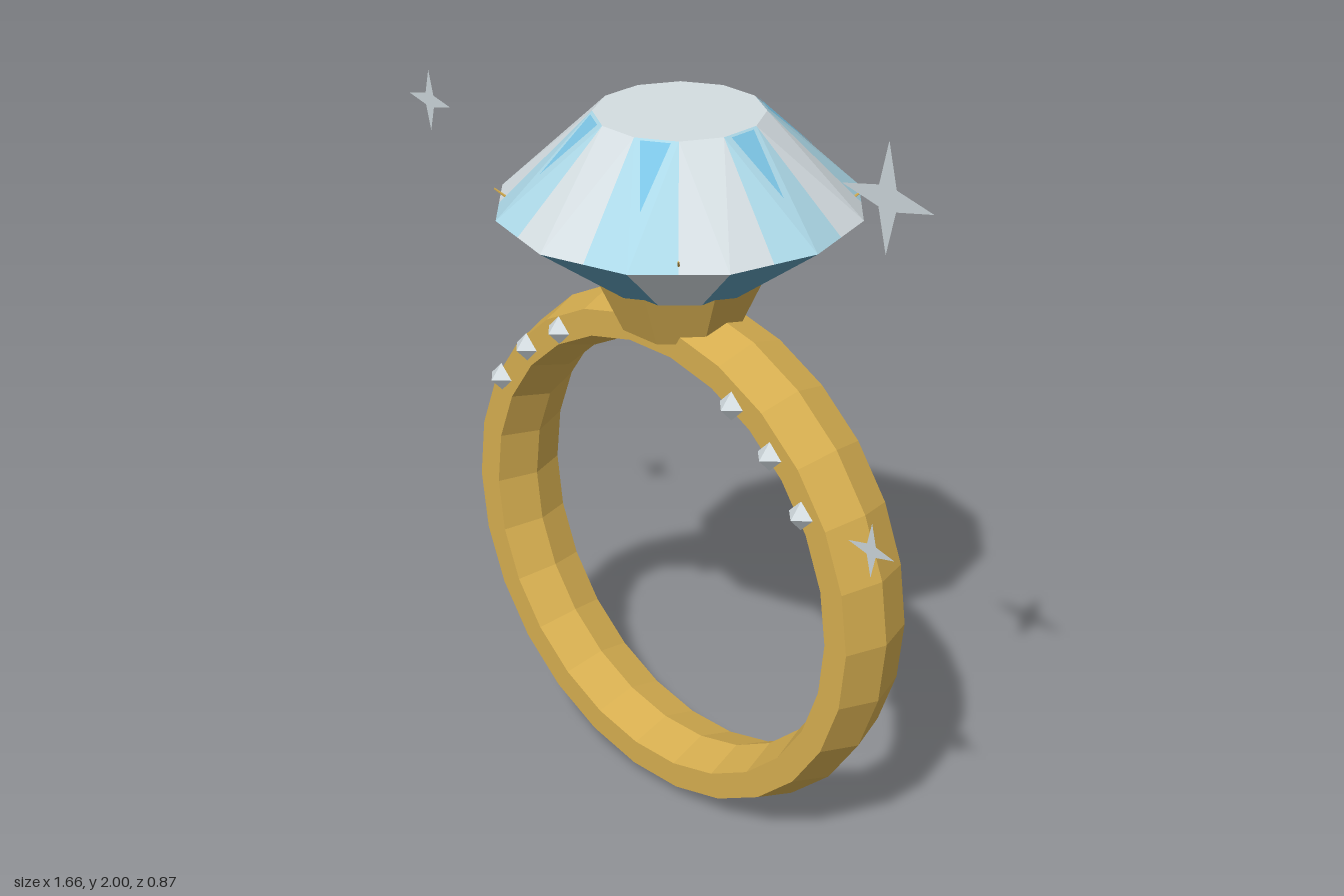
import * as THREE from 'three';

const paint = (name, color, extra = {}) => {
  const m = new THREE.MeshStandardMaterial({ color, flatShading: true, ...extra });
  m.name = name;
  return m;
};

// Point on a horizontal circle, angle in degrees from +x towards +z
const at = (r, deg, y) => {
  const a = THREE.MathUtils.degToRad(deg);
  return new THREE.Vector3(r * Math.cos(a), y, r * Math.sin(a));
};

function facets(points) {
  const g = new THREE.BufferGeometry().setFromPoints(points);
  g.computeVertexNormals();
  return g;
}

export function createModel() {
  const gold = paint('gold', 0xd6ae50);
  const white = paint('clear white', 0xd4dde1);
  const paleBlue = paint('pale blue', 0xacd8e7);
  const glintBlue = paint('glint blue', 0x7cc4e4);
  const deepBlue = paint('deep blue', 0x5f9cb8);
  const sparkleWhite = paint('sparkle white', 0xcad4d8, { side: THREE.DoubleSide });

  const model = new THREE.Group();
  const add = (name, geometry, material, parent = model) => {
    const mesh = new THREE.Mesh(geometry, material);
    mesh.name = name;
    parent.add(mesh);
    return mesh;
  };
  const CX = -0.095; // ring axis

  // Band: hexagonal section stretched along the finger
  const band = add('band', new THREE.TorusGeometry(0.6075, 0.0675, 6, 26).scale(1, 1, 1.75), gold);
  band.position.set(CX, 0.67, 0);

  // Cup and four slim prongs that hold the stone
  const setting = new THREE.Group();
  setting.name = 'setting';
  setting.position.x = CX;
  model.add(setting);
  const cup = add('cup', new THREE.CylinderGeometry(0.215, 0.146, 0.15, 8).rotateY(Math.PI / 8), gold, setting);
  cup.position.y = 1.355;
  for (const deg of [45, 135, 225, 315]) {
    const from = at(0.16, deg, 1.4), to = at(0.43, deg, 1.615);
    const prong = add('prong', new THREE.CylinderGeometry(0.002, 0.014, from.distanceTo(to), 5), gold, setting);
    prong.position.copy(from).lerp(to, 0.5);
    prong.quaternion.setFromUnitVectors(new THREE.Vector3(0, 1, 0), to.clone().sub(from).normalize());
  }

  // Main stone: twelve-sided girdle, table turned half a step
  const R = 0.435, T = 0.2, yGirdle = 1.58, yTable = 1.805, yTip = 1.26;
  const mid = R * Math.cos(Math.PI / 12);
  const table = [], crownWhite = [], crownBlue = [], glints = [], pavWhite = [], pavBlue = [];
  for (let i = 0; i < 12; i++) {
    const a = i * 30;
    const tL = at(T, a + 15, yTable), tR = at(T, a - 15, yTable);
    const mL = at(mid, a + 15, yGirdle), mR = at(mid, a - 15, yGirdle);
    const g = at(R, a, yGirdle);
    table.push(new THREE.Vector3(0, yTable, 0), tL, tR);
    (i % 2 ? crownWhite : crownBlue).push(tL, mL, g, tL, g, tR, tR, g, mR);
    if (i % 2 === 0) {
      // Blue reflection lying just above the facet
      const lift = at(0.003, a, 0.002);
      const top = k => tR.clone().lerp(tL, k).lerp(g, 0.02).add(lift);
      const tip = tL.clone().lerp(tR, 0.5).lerp(g, 0.55).add(lift);
      glints.push(top(0.85), tip, top(0.15));
    }
    (i % 3 === 1 ? pavWhite : pavBlue).push(at(R, a + 30, yGirdle), new THREE.Vector3(0, yTip, 0), g);
  }
  const stone = new THREE.Group();
  stone.name = 'mainStone';
  stone.position.x = CX;
  model.add(stone);
  add('table', facets(table), white, stone);
  add('crownWhiteFacets', facets(crownWhite), white, stone);
  add('crownBlueFacets', facets(crownBlue), paleBlue, stone);
  add('crownGlints', facets(glints), glintBlue, stone);
  add('pavilionWhiteFacets', facets(pavWhite), white, stone);
  add('pavilionBlueFacets', facets(pavBlue), deepBlue, stone);

  // Small pyramid stones along both shoulders
  const stud = new THREE.ConeGeometry(0.037, 0.034, 4).rotateX(Math.PI / 2);
  for (const side of [-1, 1]) {
    for (const [dx, y] of [[0.515, 1.0], [0.415, 1.115], [0.293, 1.2]]) {
      add('shoulderStone', stud, white).position.set(CX + side * dx, y, 0.144);
    }
  }

  // Flat four-pointed sparkles
  for (const [x, y, r] of [[0.71, 1.875, 0.125], [-0.75, 1.715, 0.077], [0.697, 1.05, 0.068]]) {
    const star = new THREE.Shape();
    for (let i = 0; i < 8; i++) {
      const d = i % 2 ? r * 0.27 : r, a = i * Math.PI / 4;
      star[i ? 'lineTo' : 'moveTo'](d * Math.cos(a), d * Math.sin(a));
    }
    add('sparkle', new THREE.ShapeGeometry(star), sparkleWhite).position.set(x, y, 0.2);
  }
  return model;
}
